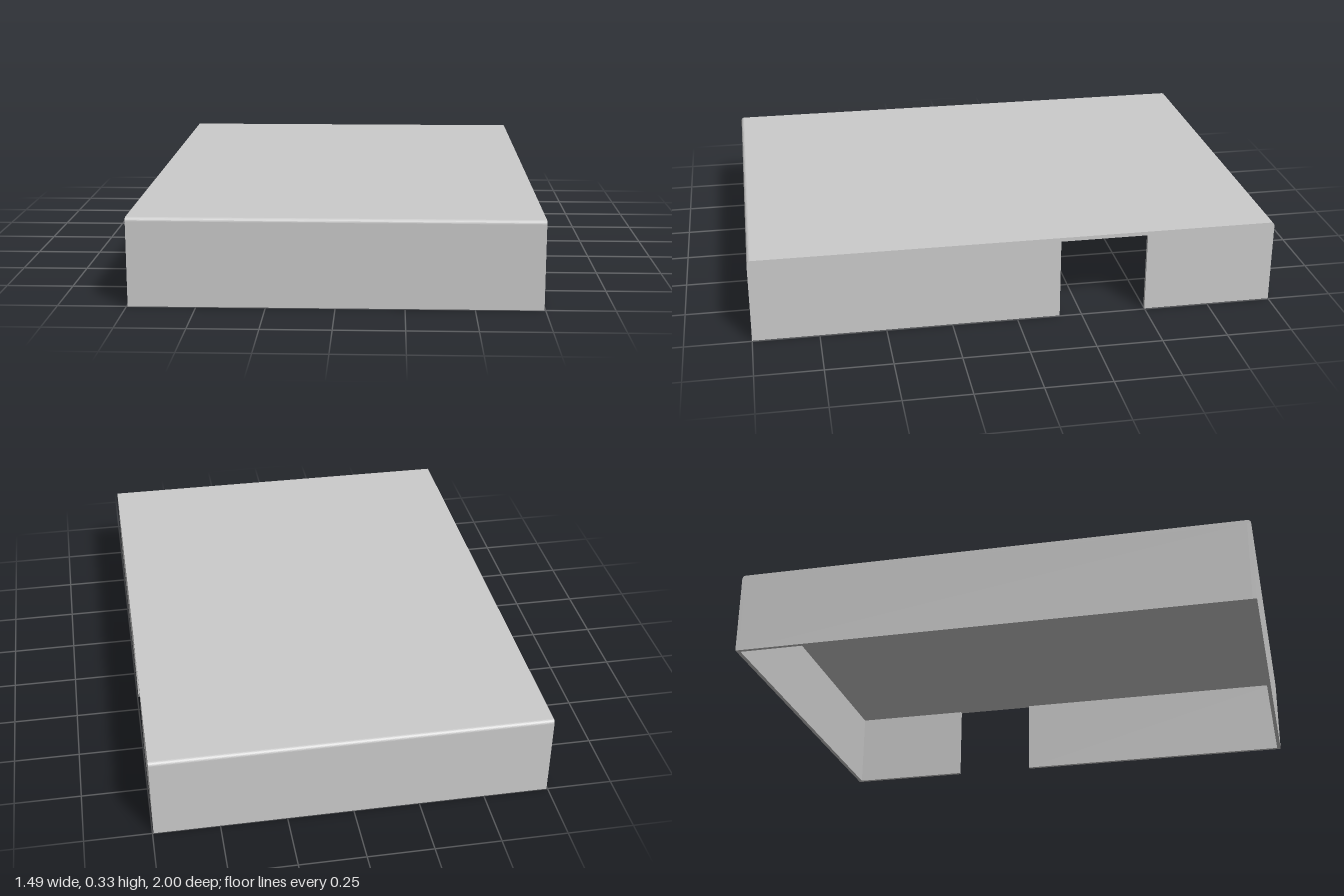
import * as THREE from 'three';

const W = 1.492, H = 0.328, D = 2, T = 0.015; // overall size and sheet thickness

export function createModel() {
  const group = new THREE.Group();
  const mat = new THREE.MeshStandardMaterial({ color: 0xcccccc, flatShading: true });
  const add = (name, geometry) => {
    const mesh = new THREE.Mesh(geometry, mat);
    mesh.name = name;
    group.add(mesh);
    return mesh;
  };

  // Top sheet with front and back flanges: a folded U profile (z across, y up)
  const z = D / 2, r = 0.014;
  const fold = new THREE.Shape();
  fold.moveTo(-z, 0);
  fold.lineTo(-z, H - r);
  fold.absarc(-z + r, H - r, r, Math.PI, Math.PI / 2, true);
  fold.lineTo(z - r, H);
  fold.absarc(z - r, H - r, r, Math.PI / 2, 0, true);
  fold.lineTo(z, 0);
  fold.lineTo(z - T, 0);
  fold.lineTo(z - T, H - T);
  fold.lineTo(-z + T, H - T);
  fold.lineTo(-z + T, 0);
  fold.closePath();
  const foldGeo = new THREE.ExtrudeGeometry(fold, { depth: W, bevelEnabled: false, curveSegments: 4 });
  foldGeo.translate(0, 0, -W / 2).rotateY(-Math.PI / 2);
  add('foldedTopSheet', foldGeo);

  // Side flanges under the top sheet; the left (+x) one is split by a cutout
  const sideWall = (name, side, zMin, zMax) => {
    const wall = add(name, new THREE.BoxGeometry(T, H - T, zMax - zMin));
    wall.position.set(side * (W - T) / 2, (H - T) / 2, (zMin + zMax) / 2);
  };
  const end = z - T;
  sideWall('rightWall', -1, -end, end);
  sideWall('leftWallFront', 1, -0.165, end);
  sideWall('leftWallBack', 1, -end, -0.5);

  return group;
}
